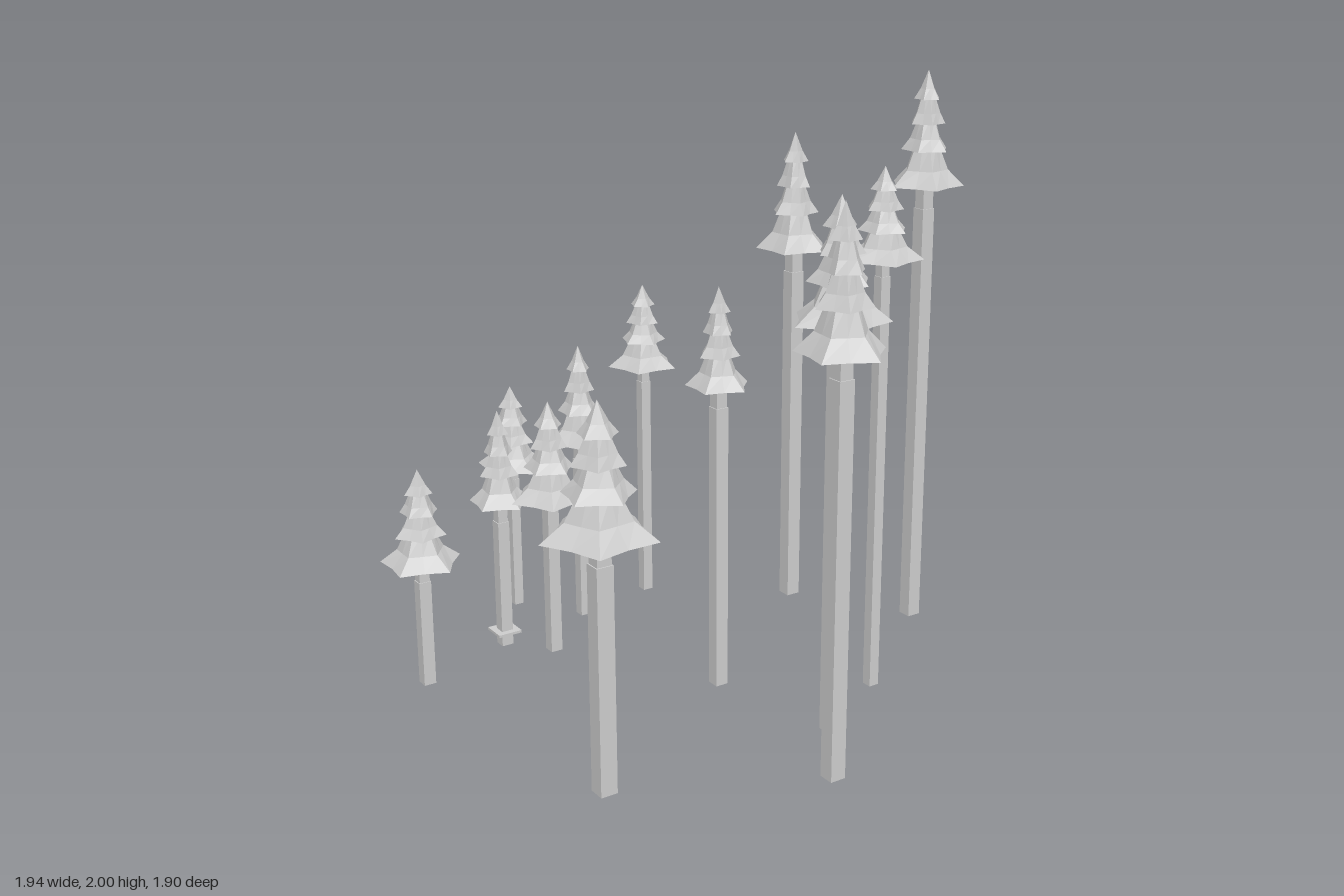
import * as THREE from 'three';

// x, z, trunk width, trunk bottom, trunk top, foliage bottom, apex, foliage radius, turn (degrees)
const TREES = [
  [-0.31, -0.84, 0.035, 0.03, 0.52, 0.57, 0.87, 0.13, 11],
  [0.16, -0.69, 0.037, 0.03, 0.85, 0.91, 1.21, 0.128, 57],
  [-0.14, -0.64, 0.04, 0.02, 0.62, 0.69, 1.04, 0.12, 40],
  [-0.51, -0.55, 0.042, 0.03, 0.49, 0.56, 0.89, 0.108, 7],
  [-0.86, -0.44, 0.042, 0.02, 0.39, 0.455, 0.78, 0.138, 1],
  [-0.38, -0.43, 0.042, 0.02, 0.55, 0.585, 0.93, 0.14, 42],
  [0.615, -0.39, 0.052, 0.01, 1.26, 1.345, 1.76, 0.135, 69],
  [0.855, 0.03, 0.05, 0.02, 1.53, 1.61, 2.0, 0.132, 41],
  [-0.06, 0.125, 0.045, 0.03, 1.0, 1.07, 1.395, 0.108, 3],
  [-0.715, 0.485, 0.057, 0, 0.735, 0.82, 1.23, 0.182, 48],
  [0.36, 0.415, 0.036, 0.03, 1.43, 1.485, 1.775, 0.128, 39],
  [0.075, 0.565, 0.05, 0.01, 1.28, 1.36, 1.74, 0.16, 38],
  [-0.105, 0.81, 0.053, 0.01, 1.27, 1.345, 1.78, 0.142, 8],
];

// each tier: [height fraction, radius fraction] for its hem, bend and top
const TIERS = [
  [[0, 1], [0.14, 0.58], [0.34, 0.34]],
  [[0.31, 0.64], [0.41, 0.42], [0.57, 0.24]],
  [[0.54, 0.47], [0.63, 0.33], [0.78, 0.18]],
  [[0.75, 0.35], [0.84, 0.19], [1, 0]],
];

// five-pointed flared skirt with a closed underside
function tierGeometry(rings, height, radius, turn) {
  const pos = [];
  const point = (k, i) => {
    const [h, r] = rings[k];
    const valley = i % 2 ? [0.75, 0.82, 0.9][k] : 1;
    const a = turn + (i * Math.PI) / 5;
    return [Math.cos(a) * r * radius * valley, h * height, Math.sin(a) * r * radius * valley];
  };
  const centre = [0, rings[0][0] * height, 0];
  for (let i = 0; i < 10; i++) {
    pos.push(...centre, ...point(0, i), ...point(0, i + 1));
    for (let k = 0; k < 2; k++) {
      const a = point(k, i), a2 = point(k, i + 1);
      const b = point(k + 1, i), b2 = point(k + 1, i + 1);
      pos.push(...a, ...b, ...a2);
      if (rings[k + 1][1] > 0) pos.push(...a2, ...b, ...b2);
    }
  }
  const geo = new THREE.BufferGeometry();
  geo.setAttribute('position', new THREE.Float32BufferAttribute(pos, 3));
  geo.computeVertexNormals();
  return geo;
}

export function createModel() {
  const model = new THREE.Group();
  model.name = 'pineGrove';
  const grey = new THREE.MeshStandardMaterial({ color: 0xcccccc });
  grey.name = 'pale grey';

  const add = (parent, name, geo, y) => {
    const mesh = new THREE.Mesh(geo, grey);
    mesh.name = name;
    mesh.position.y = y;
    parent.add(mesh);
    return mesh;
  };

  TREES.forEach(([x, z, w, bottom, trunkTop, hem, apex, radius, degrees], n) => {
    const tree = new THREE.Group();
    tree.name = 'pineTree' + (n + 1);
    tree.position.set(x, 0, z);
    model.add(tree);

    // square trunk and the slimmer stem that carries the foliage
    add(tree, 'trunk', new THREE.BoxGeometry(w, trunkTop - bottom, w), (trunkTop + bottom) / 2);
    const stemTop = hem + 0.03;
    add(tree, 'stem', new THREE.BoxGeometry(w * 0.86, stemTop - trunkTop, w * 0.86), (stemTop + trunkTop) / 2);

    // stacked foliage, every other tier turned half a step
    const foliage = new THREE.Group();
    foliage.name = 'foliage';
    tree.add(foliage);
    TIERS.forEach((rings, t) => {
      const turn = THREE.MathUtils.degToRad(degrees + (t % 2) * 36);
      add(foliage, 'foliageTier' + (t + 1), tierGeometry(rings, apex - hem, radius, turn), hem);
    });

    // one trunk carries a small plate near its foot
    if (n === 3) add(tree, 'footPlate', new THREE.BoxGeometry(0.087, 0.009, 0.087), 0.08);
  });
  return model;
}
